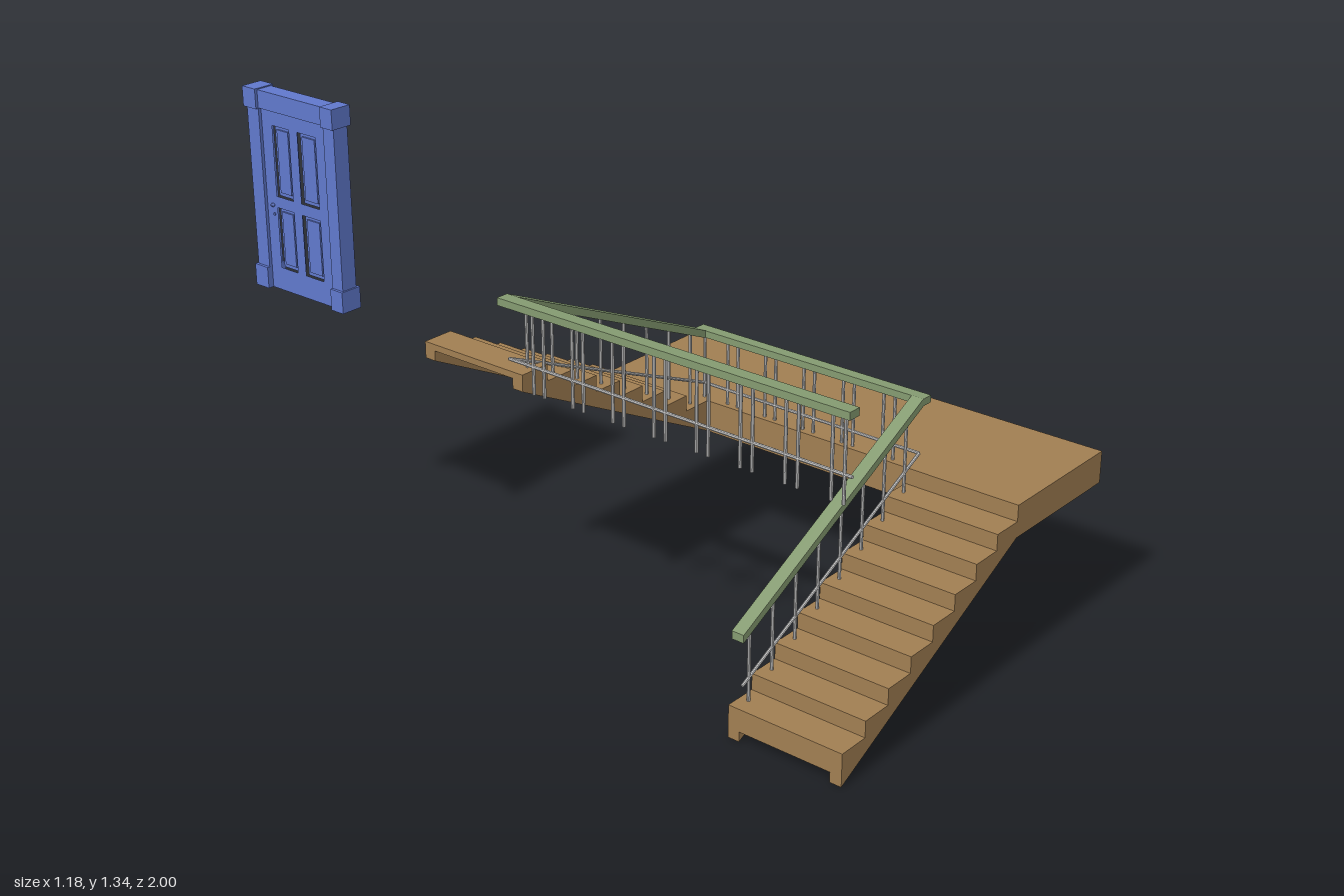
import * as THREE from 'three';

const material = (color) => new THREE.MeshStandardMaterial({ color, flatShading: true });
const wood = material(0xa07e52);
const green = material(0x849a70);
const metal = material(0xcccccc);
const blue = material(0x6078cc);

const RISE = 0.0458, RUN = 0.0916, X0 = -0.555, X1 = 0.178, X2 = 0.59;
const LANDING = RISE * 10;

function add(parent, geometry, mat, name) {
  const mesh = new THREE.Mesh(geometry, mat);
  mesh.name = name;
  parent.add(mesh);
  return mesh;
}

// Box given by its limits on each axis
function box(parent, name, mat, [xa, xb], [ya, yb], [za, zb]) {
  const mesh = add(parent, new THREE.BoxGeometry(xb - xa, yb - ya, zb - za), mat, name);
  mesh.position.set((xa + xb) / 2, (ya + yb) / 2, (za + zb) / 2);
  return mesh;
}

// Side profile in x/y, extruded between two z values
function slab(parent, name, mat, points, za, zb) {
  const shape = new THREE.Shape(points.map(([x, y]) => new THREE.Vector2(x, y)));
  const geometry = new THREE.ExtrudeGeometry(shape, { depth: zb - za, bevelEnabled: false });
  geometry.translate(0, 0, za);
  return add(parent, geometry, mat, name);
}

// Thin round bar between two points
function bar(parent, name, a, b, radius = 0.0045) {
  const from = new THREE.Vector3(...a), to = new THREE.Vector3(...b);
  const dir = to.clone().sub(from);
  const mesh = add(parent, new THREE.CylinderGeometry(radius, radius, dir.length(), 8), metal, name);
  mesh.position.copy(from).addScaledVector(dir, 0.5);
  mesh.quaternion.setFromUnitVectors(new THREE.Vector3(0, 1, 0), dir.normalize());
}

// Tread height of step i, counted from x = X0
const lowerTread = (i) => RISE * (i + 2);
const upperTread = (i) => RISE * (17 - i);

// Flight carried on across the landing; lift raises the underside
function flightProfile(tread, startY, lift) {
  const points = [[X0, startY + lift], [X1, RISE * 8 + lift], [X2, RISE * 8 + lift], [X2, LANDING]];
  for (let i = 7; i >= 0; i--) {
    points.push([X0 + (i + 1) * RUN, i === 7 ? LANDING : tread(i + 1)]);
    points.push([X0 + (i + 1) * RUN, tread(i)], [X0 + i * RUN, tread(i)]);
  }
  return points.filter((p, k) => k === 0 || Math.hypot(p[0] - points[k - 1][0], p[1] - points[k - 1][1]) > 1e-5);
}

function flight(parent, name, tread, startY, za, zb) {
  const group = new THREE.Group();
  group.name = name;
  const w = 0.034;
  const edge = flightProfile(tread, startY, 0);
  slab(group, 'stringer', wood, edge, za, za + w);
  slab(group, 'stringer', wood, edge, zb - w, zb);
  slab(group, 'treads', wood, flightProfile(tread, startY, 0.028), za + w, zb - w);
  parent.add(group);
}

// Sloping handrail with plumb-cut ends
function slopedRail(parent, name, ya, yb, za, zb) {
  const h = 0.011;
  slab(parent, name, green, [[X0, ya - h], [X1, yb - h], [X1, yb + h], [X0, ya + h]], za, zb);
}

function buildRailings() {
  const group = new THREE.Group();
  group.name = 'railings';
  const zLow = 0.671, zUp = -0.041;

  slopedRail(group, 'lowerHandrail', 0.289, 0.654, 0.653, 0.689);
  slopedRail(group, 'upperHandrail', 0.974, 0.654, -0.06, -0.024);
  box(group, 'landingHandrail', green, [X1, 0.212], [0.644, 0.664], [-0.06, 0.689]);
  box(group, 'topHandrail', green, [-0.591, X0], [0.965, 0.985], [-0.06, 1.0]);

  // One baluster per tread
  for (let i = 0; i < 8; i++) {
    const x = X0 + (i + 0.5) * RUN, t = (i + 0.5) / 8;
    bar(group, 'lowerBaluster', [x, lowerTread(i), zLow], [x, 0.289 + 0.365 * t, zLow]);
    bar(group, 'upperBaluster', [x, upperTread(i), zUp], [x, 0.974 - 0.32 * t, zUp]);
  }

  // Paired balusters on the level railings
  for (let i = 0; i < 8; i++) {
    for (const dz of [0, -0.035]) {
      const z = 0.978 - i * 0.129 + dz;
      bar(group, 'topBaluster', [-0.573, 0.748, z], [-0.573, 0.97, z]);
      if (i > 2) bar(group, 'landingBaluster', [0.196, LANDING, z], [0.196, 0.65, z]);
    }
  }
  bar(group, 'landingBaluster', [0.196, LANDING, zUp], [0.196, 0.65, zUp]);

  // Middle bars
  bar(group, 'lowerMiddleBar', [-0.535, 0.145, zLow], [0.196, 0.5, zLow]);
  bar(group, 'landingMiddleBar', [0.196, 0.5, zLow], [0.196, 0.5, zUp]);
  bar(group, 'upperMiddleBar', [0.196, 0.5, zUp], [-0.573, 0.822, zUp]);
  bar(group, 'topMiddleBar', [-0.573, 0.822, zUp], [-0.573, 0.822, 1.0]);
  return group;
}

function buildDoor() {
  const group = new THREE.Group();
  group.name = 'door';
  const wide = [-0.565, -0.501], slim = [-0.557, -0.509], mid = -0.533;

  // Frame with corner blocks and plinths
  for (const [za, zb, sa, sb] of [[-0.7, -0.655, -0.7, -0.66], [-1.0, -0.95, -0.995, -0.95]]) {
    box(group, 'jamb', blue, slim, [0.84, 1.285], [sa, sb]);
    box(group, 'plinth', blue, wide, [0.78, 0.84], [za, zb]);
    box(group, 'cornerBlock', blue, wide, [1.285, 1.34], [za, zb]);
  }
  box(group, 'lintel', blue, slim, [1.287, 1.337], [-0.95, -0.7]);

  // Leaf with four panel openings, drawn in z/y and turned to face x
  const rect = (Type, za, zb, ya, yb) => new Type([[za, ya], [zb, ya], [zb, yb], [za, yb]]
    .map(([z, y]) => new THREE.Vector2(-z, y)));
  const leaf = rect(THREE.Shape, -0.95, -0.7, 0.78, 1.287);
  for (const [za, zb] of [[-0.812, -0.742], [-0.91, -0.845]]) {
    for (const [ya, yb] of [[0.845, 1.016], [1.048, 1.245]]) {
      leaf.holes.push(rect(THREE.Path, za, zb, ya, yb));
      box(group, 'panelBack', blue, [mid - 0.005, mid + 0.005], [ya, yb], [za, zb]);
      box(group, 'raisedPanel', blue, [mid - 0.01, mid + 0.01], [ya + 0.011, yb - 0.011], [za + 0.011, zb - 0.011]);
    }
  }
  const geometry = new THREE.ExtrudeGeometry(leaf, { depth: 0.03, bevelEnabled: false });
  geometry.rotateY(Math.PI / 2).translate(mid - 0.015, 0, 0);
  add(group, geometry, blue, 'leaf');

  // Handles on both faces
  for (const side of [-1, 1]) {
    const knob = add(group, new THREE.SphereGeometry(0.006, 10, 8), blue, 'knob');
    knob.position.set(mid + side * 0.021, 1.022, -0.923);
    const lock = add(group, new THREE.CylinderGeometry(0.004, 0.004, 0.004, 10), blue, 'lock');
    lock.rotation.z = Math.PI / 2;
    lock.position.set(mid + side * 0.016, 0.995, -0.923);
  }
  return group;
}

export function createModel() {
  const model = new THREE.Group();
  model.name = 'staircase';
  flight(model, 'lowerFlight', lowerTread, 0, 0.645, 0.985);
  flight(model, 'upperFlight', upperTread, RISE * 16, -0.358, -0.016);
  box(model, 'landing', wood, [X1, X2], [RISE * 8, LANDING], [-0.05, 0.645]);
  model.add(buildRailings(), buildDoor());
  return model;
}
